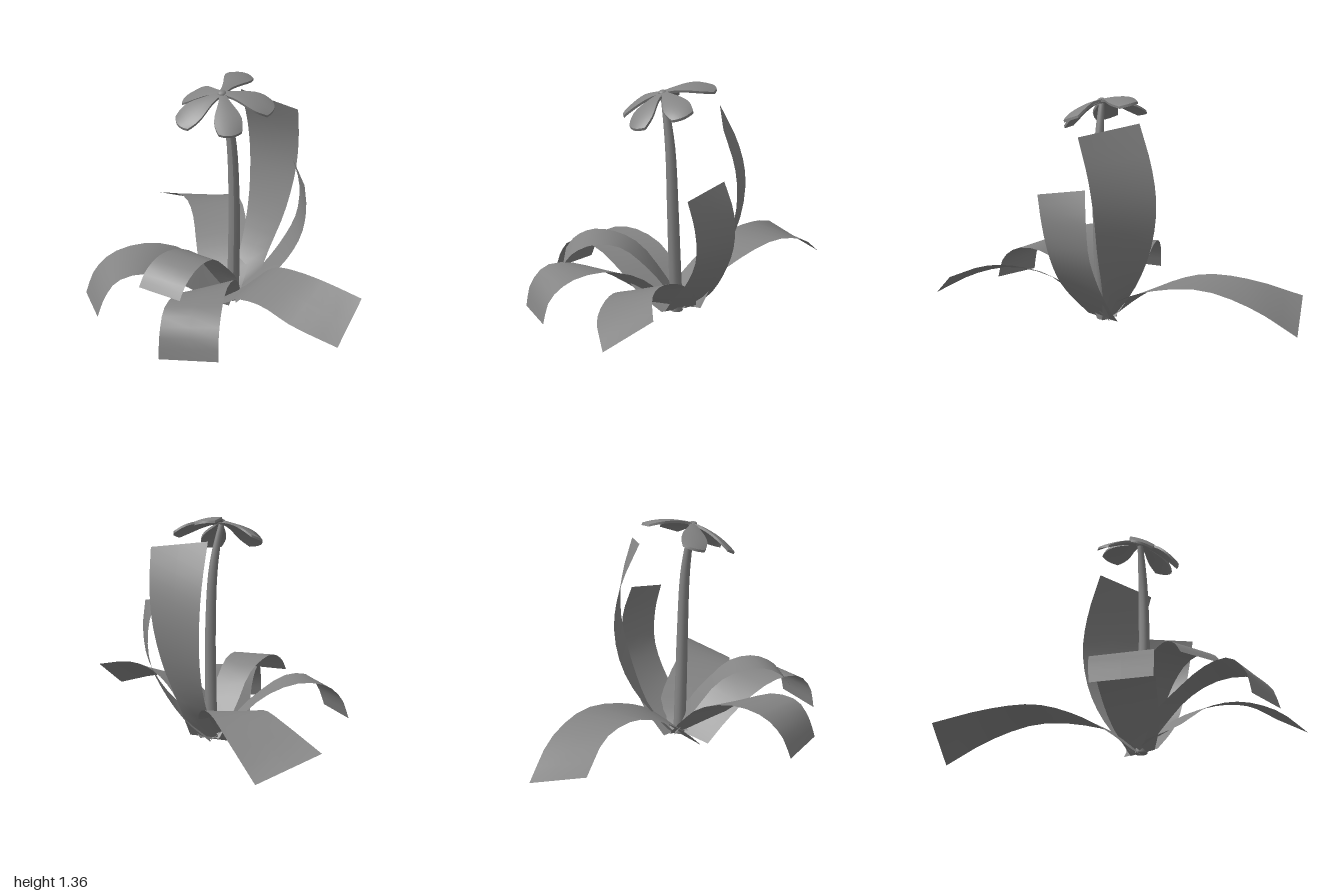
import * as THREE from 'three';

const material = new THREE.MeshStandardMaterial({ color: 0x848484, side: THREE.DoubleSide });
const vec = (p) => new THREE.Vector3(...p);

// Ribbon leaf: each station is one edge point and the opposite edge point, base to tip
function leaf(name, stations) {
  const a = new THREE.CatmullRomCurve3(stations.map((s) => vec(s[0])));
  const b = new THREE.CatmullRomCurve3(stations.map((s) => vec(s[1])));
  const geo = new THREE.PlaneGeometry(1, 1, 2, 14);
  const pos = geo.attributes.position;
  for (let i = 0; i < pos.count; i++) {
    const across = pos.getX(i) + 0.5;
    const along = THREE.MathUtils.clamp(pos.getY(i) + 0.5, 0, 1);
    const p = a.getPoint(along).lerp(b.getPoint(along), across);
    pos.setXYZ(i, p.x, p.y, p.z);
  }
  geo.computeVertexNormals();
  const mesh = new THREE.Mesh(geo, material);
  mesh.name = name;
  return mesh;
}

// Thin petal, narrow at the flower centre, drooping to a blunt tip
function petal(centre, tip, axis) {
  const mid = centre.clone().lerp(tip, 0.55).addScaledVector(axis, 0.045);
  const curve = new THREE.QuadraticBezierCurve3(centre, mid, tip);
  const side = new THREE.Vector3().crossVectors(axis, tip.clone().sub(centre)).normalize();
  const geo = new THREE.BoxGeometry(1, 1, 1, 6, 1, 10);
  const pos = geo.attributes.position;
  for (let i = 0; i < pos.count; i++) {
    const u = pos.getX(i) * 2;
    const t = pos.getZ(i) + 0.5;
    const half = 0.018 + 0.06 * Math.sin(Math.min(t / 0.8, 1) * Math.PI / 2) ** 2;
    const rounded = t - 0.09 * u * u * t * t;
    const p = curve.getPoint(THREE.MathUtils.clamp(rounded, 0, 1));
    p.addScaledVector(side, u * half * (1 - 0.2 * t ** 6));
    p.addScaledVector(axis, pos.getY(i) * 0.014 - 0.012 * u * u * t);
    pos.setXYZ(i, p.x, p.y, p.z);
  }
  geo.computeVertexNormals();
  const mesh = new THREE.Mesh(geo, material);
  mesh.name = 'petal';
  return mesh;
}

// Stem: a cylinder whose rings follow a curve and swell toward the base
function stem() {
  const curve = new THREE.CatmullRomCurve3([
    [0.07, 0.04, 0.17], [0.075, 0.35, 0.185], [0.076, 0.65, 0.195],
    [0.063, 1.0, 0.2], [0.04, 1.17, 0.205], [0.008, 1.32, 0.21],
  ].map(vec));
  const geo = new THREE.CylinderGeometry(1, 1, 1, 10, 16);
  const pos = geo.attributes.position;
  for (let i = 0; i < pos.count; i++) {
    const t = THREE.MathUtils.clamp(pos.getY(i) + 0.5, 0, 1);
    const p = curve.getPoint(t);
    const r = 0.036 - 0.02 * t * t;
    pos.setXYZ(i, p.x + pos.getX(i) * r, p.y, p.z + pos.getZ(i) * r);
  }
  geo.computeVertexNormals();
  const mesh = new THREE.Mesh(geo, material);
  mesh.name = 'stem';
  return mesh;
}

export function createModel() {
  const model = new THREE.Group();
  model.name = 'floweringPlant';

  // Arching leaves around the base
  const leaves = new THREE.Group();
  leaves.name = 'leaves';
  leaves.add(
    leaf('backLeaf', [
      [[-0.1, 0.0, 0.2], [0.1, 0.04, 0.16]],
      [[-0.13, 0.13, 0.05], [0.15, 0.18, 0.04]],
      [[-0.16, 0.24, -0.12], [0.145, 0.285, -0.18]],
      [[-0.2, 0.33, -0.36], [0.1, 0.34, -0.5]],
      [[-0.28, 0.32, -0.62], [0.02, 0.26, -0.78]],
      [[-0.45, 0.22, -0.87], [-0.1, 0.1, -1.0]],
    ]),
    leaf('rightLeaf', [
      [[0.08, 0.04, 0.1], [0.05, 0.04, 0.26]],
      [[-0.08, 0.18, 0.06], [-0.06, 0.13, 0.34]],
      [[-0.24, 0.31, 0.07], [-0.22, 0.26, 0.4]],
      [[-0.44, 0.37, 0.135], [-0.4, 0.355, 0.47]],
      [[-0.62, 0.34, 0.205], [-0.55, 0.34, 0.535]],
      [[-0.72, 0.25, 0.25], [-0.62, 0.25, 0.565]],
      [[-0.77, 0.12, 0.28], [-0.66, 0.14, 0.58]],
    ]),
    leaf('frontRightLeaf', [
      [[0.03, 0.05, 0.1], [0.12, 0.05, 0.18]],
      [[-0.07, 0.22, 0.17], [0.1, 0.22, 0.27]],
      [[-0.16, 0.4, 0.28], [0.03, 0.36, 0.37]],
      [[-0.25, 0.47, 0.39], [-0.03, 0.46, 0.48]],
      [[-0.33, 0.48, 0.5], [-0.1, 0.48, 0.61]],
      [[-0.39, 0.43, 0.58], [-0.16, 0.43, 0.71]],
      [[-0.42, 0.36, 0.625], [-0.19, 0.36, 0.76]],
    ]),
    leaf('frontLeaf', [
      [[-0.16, 0.03, 0.2], [0.1, 0.05, 0.17]],
      [[-0.17, 0.14, 0.33], [0.11, 0.2, 0.3]],
      [[-0.19, 0.26, 0.5], [0.09, 0.32, 0.45]],
      [[-0.23, 0.345, 0.68], [0.055, 0.375, 0.64]],
      [[-0.27, 0.345, 0.83], [0.035, 0.355, 0.83]],
      [[-0.285, 0.25, 0.92], [0.025, 0.27, 0.95]],
      [[-0.29, 0.12, 0.95], [0.025, 0.14, 0.995]],
    ]),
    leaf('frontLeftLeaf', [
      [[0.14, 0.06, 0.08], [-0.07, 0.06, 0.27]],
      [[0.24, 0.2, 0.16], [0.03, 0.15, 0.42]],
      [[0.32, 0.32, 0.3], [0.11, 0.26, 0.56]],
      [[0.44, 0.4, 0.49], [0.24, 0.31, 0.71]],
      [[0.58, 0.42, 0.63], [0.4, 0.285, 0.86]],
      [[0.765, 0.385, 0.735], [0.635, 0.22, 0.955]],
    ]),
    leaf('tallLeaf', [
      [[0.03, 0.05, 0.12], [0.2, 0.08, 0.09]],
      [[0.11, 0.27, -0.07], [0.27, 0.28, 0.04]],
      [[0.15, 0.52, -0.2], [0.36, 0.52, 0.01]],
      [[0.155, 0.78, -0.245], [0.415, 0.76, -0.005]],
      [[0.138, 1.0, -0.205], [0.43, 0.97, 0.02]],
      [[0.1, 1.235, -0.1], [0.42, 1.19, 0.09]],
    ]),
    leaf('leftLeaf', [
      [[0.08, 0.04, 0.06], [0.09, 0.06, 0.26]],
      [[0.23, 0.18, 0.03], [0.23, 0.2, 0.285]],
      [[0.355, 0.36, 0.02], [0.36, 0.34, 0.28]],
      [[0.43, 0.53, 0.02], [0.45, 0.51, 0.28]],
      [[0.44, 0.72, 0.03], [0.475, 0.69, 0.305]],
      [[0.395, 0.895, 0.065], [0.46, 0.85, 0.34]],
    ]),
  );

  // Flower: five petals around a small bud, tilted to the front
  const flower = new THREE.Group();
  flower.name = 'flower';
  const centre = vec([0.008, 1.322, 0.212]);
  const axis = vec([0, 1, 0.36]).normalize();
  const tips = [
    [0.125, 1.34, -0.06], [0.288, 1.25, 0.25], [0.065, 1.16, 0.425],
    [-0.22, 1.18, 0.325], [-0.2, 1.235, 0.05],
  ];
  for (const tip of tips) flower.add(petal(centre, vec(tip), axis));
  const bud = new THREE.Mesh(new THREE.SphereGeometry(0.026, 12, 8), material);
  bud.name = 'bud';
  bud.scale.y = 0.7;
  bud.position.copy(centre);
  flower.add(bud);

  model.add(leaves, stem(), flower);
  return model;
}
